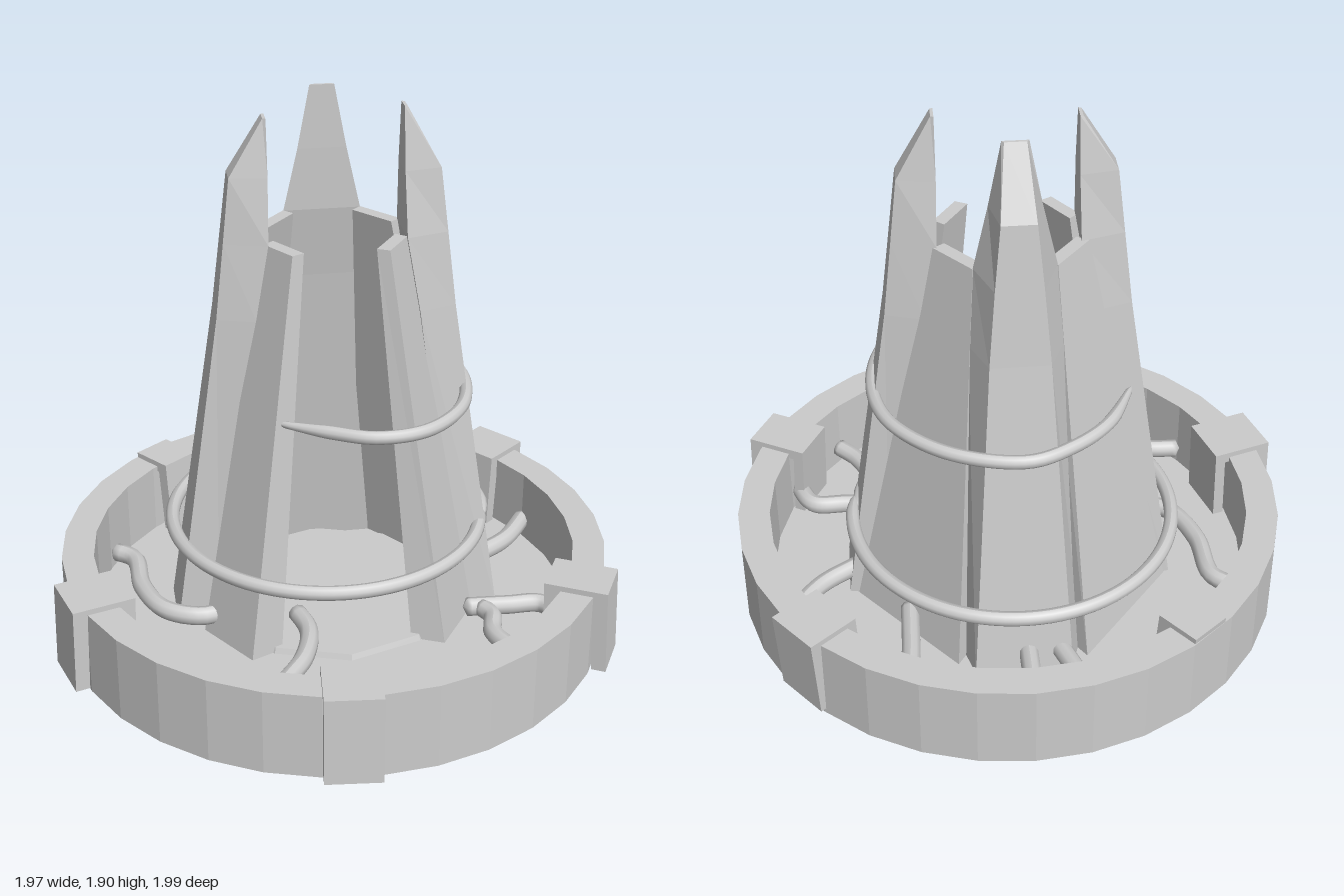
import * as THREE from 'three';

const flat = new THREE.MeshStandardMaterial({ color: 0xcccccc, flatShading: true });
const flatDouble = new THREE.MeshStandardMaterial({ color: 0xcccccc, flatShading: true, side: THREE.DoubleSide });
const smooth = new THREE.MeshStandardMaterial({ color: 0xcccccc, side: THREE.DoubleSide });

function add(parent, name, geometry, material = flat) {
  const mesh = new THREE.Mesh(geometry, material);
  mesh.name = name;
  parent.add(mesh);
  return mesh;
}

// Tapered four-sided shard; each level is [y, inner radius, outer radius, inner half width, outer half width]
function shardGeometry(levels) {
  const pos = [], idx = [];
  for (const [y, rIn, rOut, wIn, wOut] of levels) {
    pos.push(rIn, y, -wIn, rOut, y, -wOut, rOut, y, wOut, rIn, y, wIn);
  }
  for (let i = 0; i < levels.length - 1; i++) {
    for (let j = 0; j < 4; j++) {
      const a = i * 4 + j, b = i * 4 + (j + 1) % 4;
      idx.push(a, a + 4, b + 4, a, b + 4, b);
    }
  }
  const t = (levels.length - 1) * 4;
  idx.push(0, 1, 2, 0, 2, 3, t, t + 3, t + 2, t, t + 2, t + 1);
  const g = new THREE.BufferGeometry();
  g.setAttribute('position', new THREE.Float32BufferAttribute(pos, 3));
  g.setIndex(idx);
  g.computeVertexNormals();
  return g;
}

// Round cable through [x, z] points at one height, closed at both tips, with optional taper
function cableGeometry(points, y, radius, steps, taper = 0) {
  const curve = new THREE.CatmullRomCurve3(points.map(([x, z]) => new THREE.Vector3(x, y, z)));
  const sides = 10;
  const g = new THREE.TubeGeometry(curve, steps, radius, sides, false);
  const p = g.attributes.position, v = new THREE.Vector3();
  for (let i = 0; i <= steps; i++) {
    const end = Math.min(i, steps - i) / steps;
    const taperScale = end < taper ? 0.4 + 0.6 * end / taper : 1;
    const scale = end === 0 ? 0 : taperScale;
    const c = curve.getPointAt(i / steps);
    for (let j = 0; j <= sides; j++) {
      const k = i * (sides + 1) + j;
      v.fromBufferAttribute(p, k).sub(c).multiplyScalar(scale).add(c);
      p.setXYZ(k, v.x, v.y, v.z);
    }
  }
  g.computeVertexNormals();
  return g;
}

// Inverted U that straddles the rim; lean moves its foot in or out
function clipGeometry(rIn, rOut, width, lean) {
  const s = new THREE.Shape();
  [[rIn + lean, 0.02], [rIn + 0.04 + lean, 0.02], [rIn + 0.04, 0.29], [rOut - 0.05, 0.29],
    [rOut - 0.05 + lean, 0.02], [rOut + lean, 0.02], [rOut, 0.33], [rIn, 0.33]]
    .forEach(([x, y], i) => (i ? s.lineTo(x, y) : s.moveTo(x, y)));
  return new THREE.ExtrudeGeometry(s, { depth: width, bevelEnabled: false }).translate(0, 0, -width / 2);
}

export function createModel() {
  const model = new THREE.Group();
  model.name = 'shardTower';

  // Base tray: outer wall, flat rim, inner wall and thin floor
  const base = new THREE.Group();
  base.name = 'base';
  base.position.set(0.015, 0, -0.03);
  model.add(base);
  const rimProfile = [[0.965, 0], [0.965, 0.31], [0.853, 0.31], [0.853, 0.02]];
  add(base, 'rimWall', new THREE.LatheGeometry(rimProfile.map(([x, y]) => new THREE.Vector2(x, y)), 32), flatDouble);
  add(base, 'floor', new THREE.CylinderGeometry(0.855, 0.855, 0.03, 32).translate(0, 0.035, 0));

  // Rim clips: angle in degrees, inner radius, outer radius, width, lean
  for (const [deg, rIn, rOut, width, lean] of [
    [-39.5, 0.81, 1.0, 0.2, -0.02], [28.5, 0.79, 1.01, 0.175, 0.012], [95.5, 0.8, 1.01, 0.19, 0.012],
    [163, 0.79, 1.01, 0.2, 0.008], [231.5, 0.8, 0.96, 0.15, -0.025],
  ]) {
    add(base, 'rimClip', clipGeometry(rIn, rOut, width, lean)).rotation.y = -THREE.MathUtils.degToRad(deg);
  }

  // Tower of shards, open at the front
  const tower = new THREE.Group();
  tower.name = 'tower';
  tower.position.set(0.015, 0, -0.065);
  model.add(tower);
  const place = (name, geometry, deg) => {
    add(tower, name, geometry).rotation.y = -THREE.MathUtils.degToRad(deg);
  };
  // w scales the width, out shifts the shard outward, tip is its height
  const tall = (w, out, tip) => shardGeometry([
    [0.02, 0.43, 0.575, 0.15 * w, 0.12 * w],
    [1.2, 0.27, 0.4, 0.11 * w, 0.07 * w],
    [1.46, 0.225, 0.37, 0.095 * w, 0.055 * w],
    [1.68, 0.22, 0.345, 0.06 * w, 0.04 * w],
    [tip, 0.22, 0.23, 0.03 * w, 0.025 * w],
  ].map(([y, rIn, rOut, ...widths]) => [y, rIn + out, rOut + out, ...widths]));
  place('leftTallShard', tall(1, 0.012, 1.89), 0);
  place('rightTallShard', tall(1, 0, 1.87), 180);
  place('backTallShard', tall(1.4, 0, 1.9), 270);
  // Lower wall panels that join the tall shards
  const backPanel = shardGeometry([
    [0.02, 0.44, 0.51, 0.24, 0.26], [1.46, 0.205, 0.25, 0.085, 0.09],
  ]);
  place('backLeftPanel', backPanel, -40);
  place('backRightPanel', backPanel, 220);
  const frontShard = shardGeometry([
    [0.02, 0.38, 0.5, 0.15, 0.13], [1.46, 0.195, 0.24, 0.075, 0.07],
  ]);
  place('frontLeftShard', frontShard, 34);
  place('frontRightShard', frontShard, 146);
  add(tower, 'towerFoot', new THREE.CylinderGeometry(0.43, 0.45, 0.05, 10).translate(0, 0.045, 0));

  // Lower hoop: a full turn whose ends overlap slightly
  const hoop = [];
  for (let i = 0; i <= 40; i++) {
    const a = (i / 40) * Math.PI * 2.06 + 0.05;
    const r = 0.55 + 0.015 * (i / 40);
    hoop.push([0.008 + r * Math.cos(a), -0.14 + r * Math.sin(a)]);
  }
  add(model, 'lowerHoop', cableGeometry(hoop, 0.355, 0.025, 96, 0.03), smooth);

  // Upper hoop: open at the right front, with pointed ends
  add(model, 'upperHoop', cableGeometry([
    [-0.39, -0.18], [-0.28, -0.38], [-0.15, -0.49], [0, -0.55], [0.25, -0.48], [0.43, -0.3],
    [0.48, -0.08], [0.42, 0.16], [0.27, 0.31], [0.1, 0.335], [-0.05, 0.27], [-0.21, 0.18],
  ], 0.89, 0.023, 80, 0.08), smooth);

  // Floor cables running between the tray wall and the tower
  const cables = [
    [[-0.77, -0.37], [-0.69, -0.3], [-0.67, -0.1], [-0.6, 0.06], [-0.48, 0.12], [-0.39, 0.1]],
    [[-0.7, 0.43], [-0.55, 0.45], [-0.47, 0.55], [-0.44, 0.69]],
    [[-0.31, 0.77], [-0.26, 0.59], [-0.16, 0.43], [-0.12, 0.27], [-0.15, 0.13]],
    [[0.44, 0.21], [0.6, 0.22], [0.72, 0.23], [0.78, 0.34]],
    [[0.5, 0.21], [0.53, 0.28], [0.51, 0.38], [0.55, 0.48], [0.63, 0.57]],
    [[0.81, -0.37], [0.7, -0.22], [0.56, -0.12]],
    [[0.42, -0.77], [0.4, -0.62], [0.39, -0.35]],
    [[0, -0.88], [0, -0.58]],
    [[-0.2, -0.85], [-0.1, -0.58]],
  ];
  cables.forEach((pts) => add(model, 'floorCable', cableGeometry(pts, 0.12, 0.033, 28), smooth));

  return model;
}
